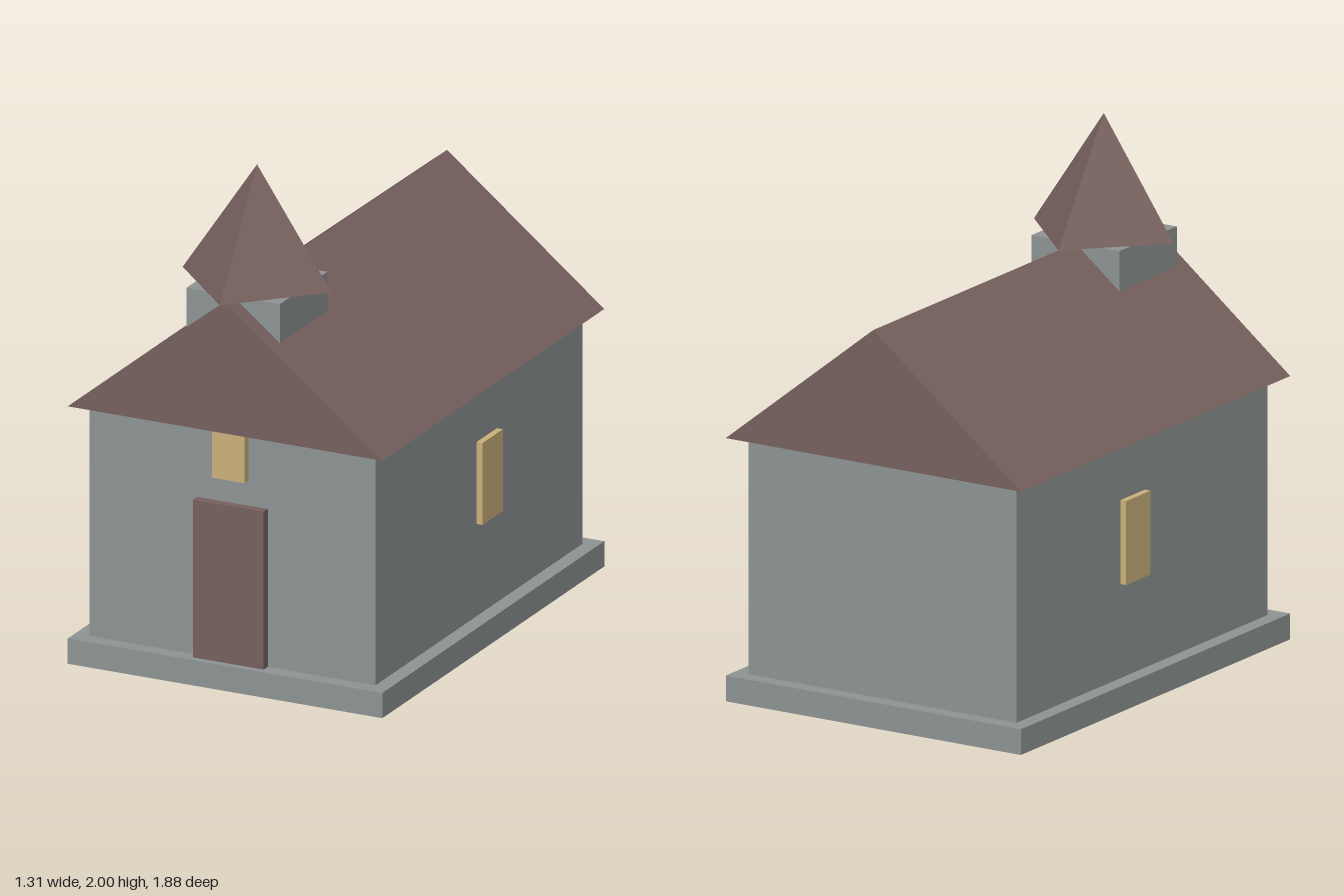
import * as THREE from 'three';

function material(name, color) {
  const m = new THREE.MeshStandardMaterial({ color });
  m.name = name;
  return m;
}

export function createModel() {
  const group = new THREE.Group();
  const stone = material('grey stone', 0x8f9594);
  const brown = material('brown shingle', 0x77625f);
  const gold = material('golden glass', 0xccb27c);

  const add = (name, geometry, mat) => {
    const mesh = new THREE.Mesh(geometry, mat);
    mesh.name = name;
    group.add(mesh);
    return mesh;
  };

  // Box given by its minimum and maximum corners
  const box = (name, mat, [x0, y0, z0], [x1, y1, z1]) =>
    add(name, new THREE.BoxGeometry(x1 - x0, y1 - y0, z1 - z0), mat)
      .position.set((x0 + x1) / 2, (y0 + y1) / 2, (z0 + z1) / 2);

  // Foundation and walls
  box('foundation', stone, [-0.655, 0, -0.94], [0.655, 0.1, 0.897]);
  box('walls', stone, [-0.595, 0.1, -0.878], [0.595, 1.02, 0.835]);

  // Gable roof: a solid triangular prism
  const gable = new THREE.Shape([
    new THREE.Vector2(-0.655, 1.02),
    new THREE.Vector2(0.655, 1.02),
    new THREE.Vector2(0, 1.543),
  ]);
  const roofGeometry = new THREE.ExtrudeGeometry(gable, { depth: 1.837, bevelEnabled: false });
  add('roof', roofGeometry, brown).position.z = -0.94;

  // Door and the window above it
  box('door', brown, [-0.147, 0.1, 0.8], [0.147, 0.725, 0.87]);
  box('frontWindow', gold, [-0.067, 0.825, 0.8], [0.067, 1.15, 0.87]);

  // One window on each side wall
  for (const [name, s] of [['leftWindow', 1], ['rightWindow', -1]]) {
    const [a, b] = [0.57 * s, 0.62 * s].sort((p, q) => p - q);
    box(name, gold, [a, 0.465, -0.17], [b, 0.79, -0.003]);
  }

  // Belfry astride the ridge, under a spire turned corner-first
  box('belfry', stone, [-0.195, 1.35, 0.438], [0.195, 1.543, 0.83]);
  const spire = new THREE.ConeGeometry(0.31, 0.457, 4).toNonIndexed();
  spire.computeVertexNormals();
  add('spire', spire, brown).position.set(0, 1.7715, 0.632);

  return group;
}
